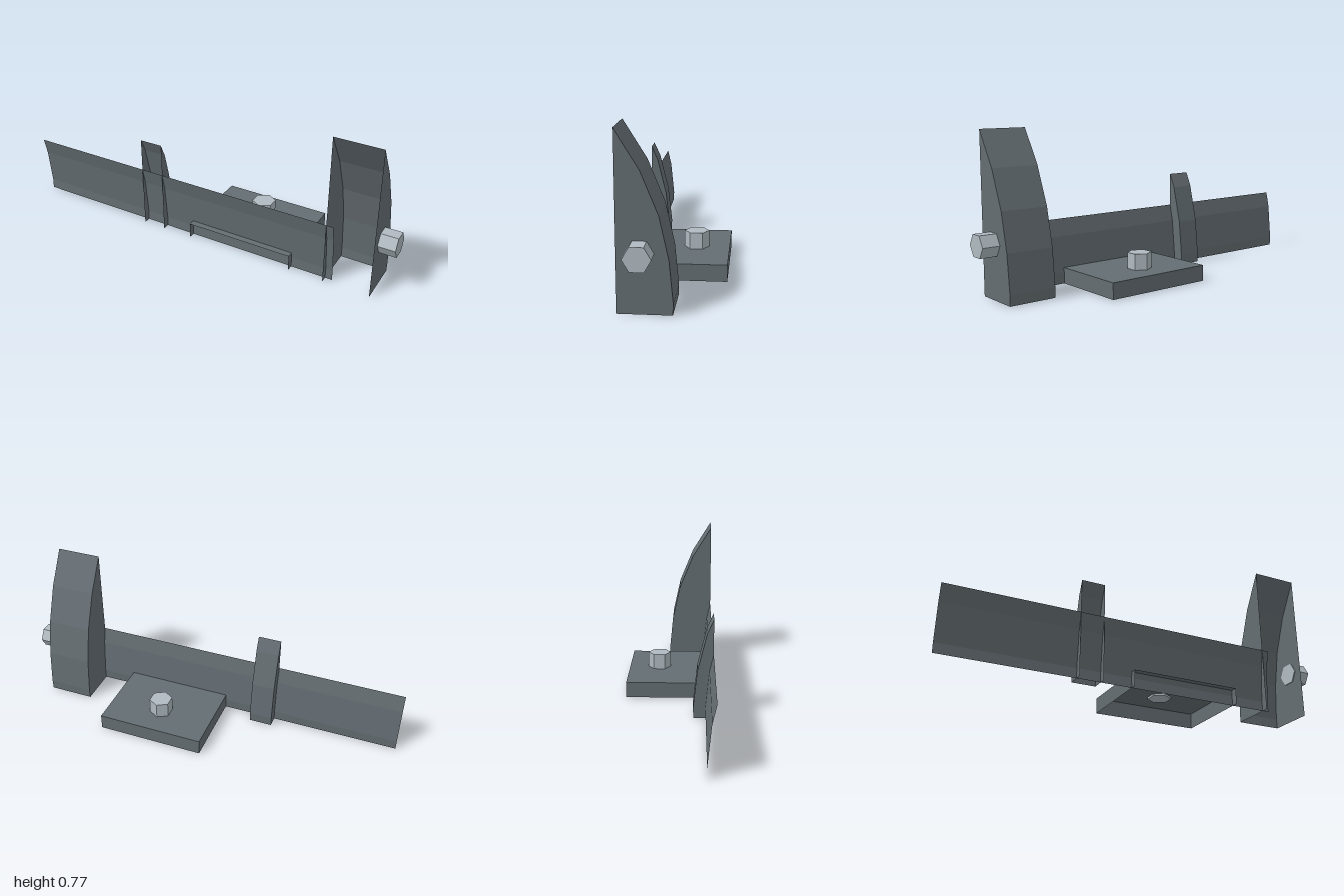
import * as THREE from 'three';

const steel = new THREE.MeshStandardMaterial({ color: 0x646d72, flatShading: true, side: THREE.DoubleSide });
const boltSteel = new THREE.MeshStandardMaterial({ color: 0xafbac0, flatShading: true });
const FRONT = 0.22;

// Faceted arc shared by all curved plates: [height, forward offset]
const ARC = [[0, 0.002], [0.05, 0], [0.235, 0.017], [0.42, 0.057], [0.605, 0.132], [0.775, 0.237]];

// Arc cut off at a height, depth is the distance from back to front edge
function profile(height, depth) {
  const pts = ARC.filter(p => p[0] < height - 0.001);
  const a = pts[pts.length - 1], b = ARC[pts.length];
  const t = (height - a[0]) / (b[0] - a[0]);
  const top = [height, a[1] + t * (b[1] - a[1])];
  return [...pts, top].map(([y, d]) => [y, FRONT - depth + d * depth / top[1]]);
}

// Flat sheet walls from corner quads
function sheet(name, quads) {
  const pos = [];
  for (const [a, b, c, d] of quads) pos.push(...a, ...b, ...c, ...a, ...c, ...d);
  const geo = new THREE.BufferGeometry();
  geo.setAttribute('position', new THREE.Float32BufferAttribute(pos, 3));
  geo.computeVertexNormals();
  const mesh = new THREE.Mesh(geo, steel);
  mesh.name = name;
  return mesh;
}

// Curved back between x0 and x1, facing -z, optionally with side walls to the front
function curvedPlate(name, x0, x1, height, depth, walls) {
  const pts = profile(height, depth), quads = [];
  for (let i = 0; i < pts.length - 1; i++) {
    const [ya, za] = pts[i], [yb, zb] = pts[i + 1];
    quads.push([[x1, ya, za], [x0, ya, za], [x0, yb, zb], [x1, yb, zb]]);
    if (!walls) continue;
    quads.push([[x0, ya, za], [x0, ya, FRONT], [x0, yb, FRONT], [x0, yb, zb]]);
    quads.push([[x1, ya, FRONT], [x1, ya, za], [x1, yb, zb], [x1, yb, FRONT]]);
  }
  return sheet(name, quads);
}

function bolt(name, length) {
  const mesh = new THREE.Mesh(new THREE.CylinderGeometry(0.06, 0.06, length, 6), boltSteel);
  mesh.name = name;
  return mesh;
}

export function createModel() {
  const group = new THREE.Group();
  group.name = 'bladeAssembly';

  group.add(curvedPlate('blade', -1, 0.715, 0.32, 0.037, false));
  group.add(curvedPlate('rib', -0.34, -0.22, 0.49, 0.096, true));
  group.add(curvedPlate('endShoe', 0.68, 0.915, 0.775, 0.237, true));

  // Mounting plate: hollow tray, open below and at the front
  const l = -0.06, r = 0.5, h = 0.08, back = -0.22;
  group.add(sheet('mountingPlate', [
    [[l, h, FRONT], [r, h, FRONT], [r, h, back], [l, h, back]],
    [[r, 0, back], [l, 0, back], [l, h, back], [r, h, back]],
    [[l, 0, back], [l, 0, FRONT], [l, h, FRONT], [l, h, back]],
    [[r, 0, FRONT], [r, 0, back], [r, h, back], [r, h, FRONT]],
  ]));

  // Hexagonal bolts
  const plateBolt = bolt('plateBolt', 0.09);
  plateBolt.position.set(0.22, 0.115, -0.06);
  const sideBolt = bolt('sideBolt', 0.09);
  sideBolt.rotation.z = -Math.PI / 2;
  sideBolt.position.set(0.955, 0.262, 0.12);
  group.add(plateBolt, sideBolt);

  return group;
}
